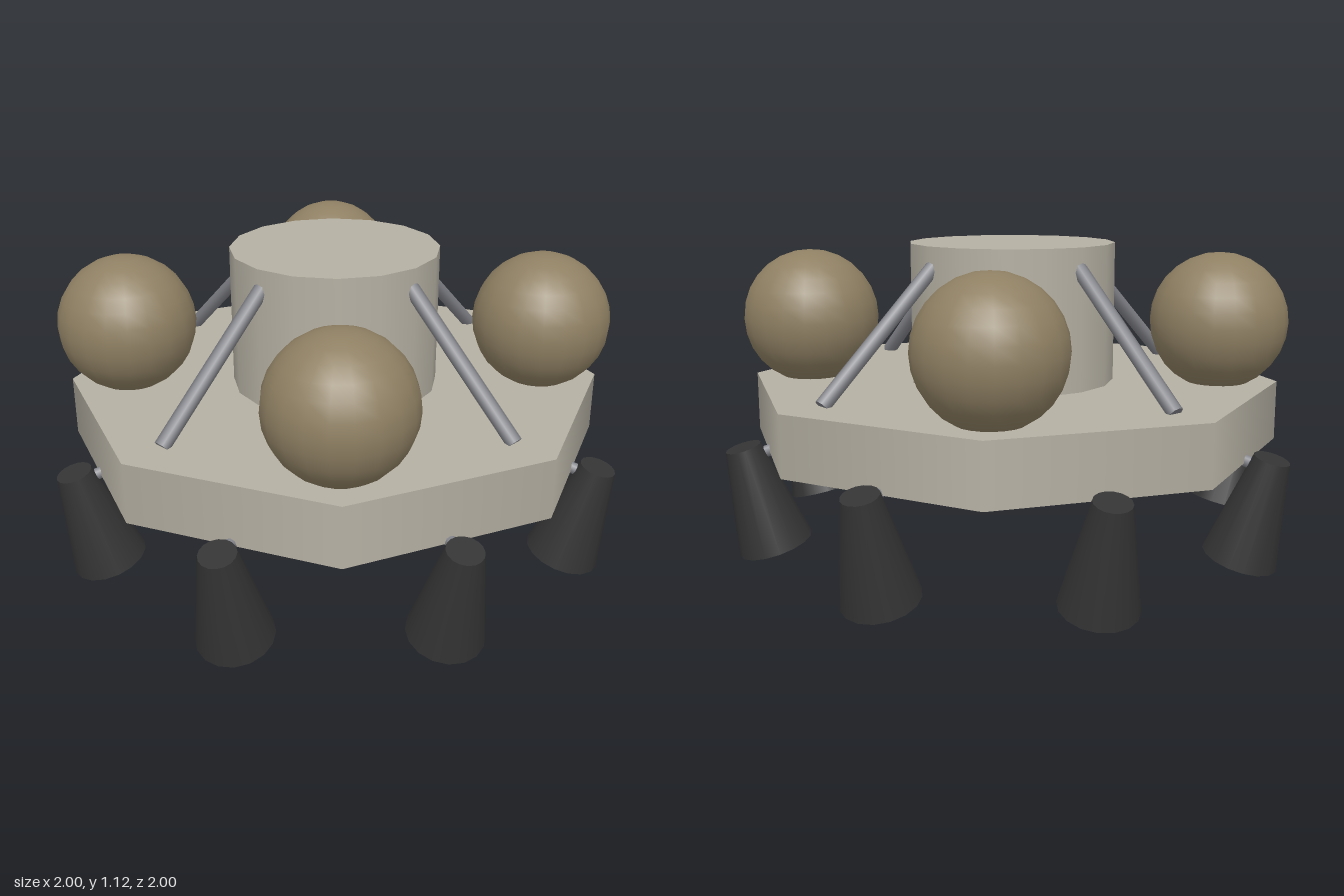
import * as THREE from 'three';

function material(name, color) {
  const m = new THREE.MeshStandardMaterial({ color });
  m.name = name;
  return m;
}

export function createModel() {
  const model = new THREE.Group();
  model.name = 'propulsionStage';

  const hull = material('hullGrey', 0xb5b0a3);
  const tank = material('tankBronze', 0x8f8063);
  const dark = material('nozzleCharcoal', 0x343434);
  const metal = material('strutSteel', 0x808187);

  function add(parent, name, geometry, mat, x = 0, y = 0, z = 0) {
    const mesh = new THREE.Mesh(geometry, mat);
    mesh.name = name;
    mesh.position.set(x, y, z);
    parent.add(mesh);
    return mesh;
  }

  // Rod between two points
  function rod(parent, name, from, to, rTop, rBottom, sides, mat) {
    const dir = to.clone().sub(from);
    const mid = from.clone().add(to).multiplyScalar(0.5);
    const mesh = add(parent, name, new THREE.CylinderGeometry(rTop, rBottom, dir.length(), sides), mat, mid.x, mid.y, mid.z);
    mesh.quaternion.setFromUnitVectors(new THREE.Vector3(0, 1, 0), dir.normalize());
    return mesh;
  }

  // Octagonal deck and central drum
  add(model, 'deck', new THREE.CylinderGeometry(0.997, 0.997, 0.22, 8), hull, 0, 0.5, 0);
  add(model, 'drum', new THREE.CylinderGeometry(0.384, 0.384, 0.525, 16), hull, 0, 0.8625, 0);

  // Four spherical tanks on the diagonals
  for (const x of [-0.546, 0.546]) {
    for (const z of [-0.546, 0.546]) {
      add(model, 'tank', new THREE.SphereGeometry(0.255, 20, 14), tank, x, 0.837, z);
    }
  }

  // Four braces from the deck up to the drum
  for (let i = 0; i < 4; i++) {
    const brace = new THREE.Group();
    brace.name = 'brace';
    brace.rotation.y = i * Math.PI / 2;
    rod(brace, 'braceRod', new THREE.Vector3(0.832, 0.612, 0), new THREE.Vector3(0.36, 1.055, 0), 0.028, 0.028, 8, metal);
    model.add(brace);
  }

  // Eight canted engines around the rim, each on a short mount
  for (let i = 0; i < 8; i++) {
    const engine = new THREE.Group();
    engine.name = 'engine';
    engine.rotation.y = (i + 0.5) * Math.PI / 4;
    rod(engine, 'nozzle', new THREE.Vector3(0.912, 0.04, 0), new THREE.Vector3(1.013, 0.412, 0), 0.064, 0.136, 16, dark);
    rod(engine, 'engineMount', new THREE.Vector3(1.0, 0.372, 0), new THREE.Vector3(0.8, 0.426, 0), 0.022, 0.022, 8, metal);
    model.add(engine);
  }

  // Three docking blocks under the deck
  for (let i = 0; i < 3; i++) {
    const a = i * Math.PI * 2 / 3;
    add(model, 'underBlock', new THREE.BoxGeometry(0.09, 0.09, 0.09), metal, 0.35 * Math.sin(a), 0.373, 0.35 * Math.cos(a));
  }

  return model;
}
